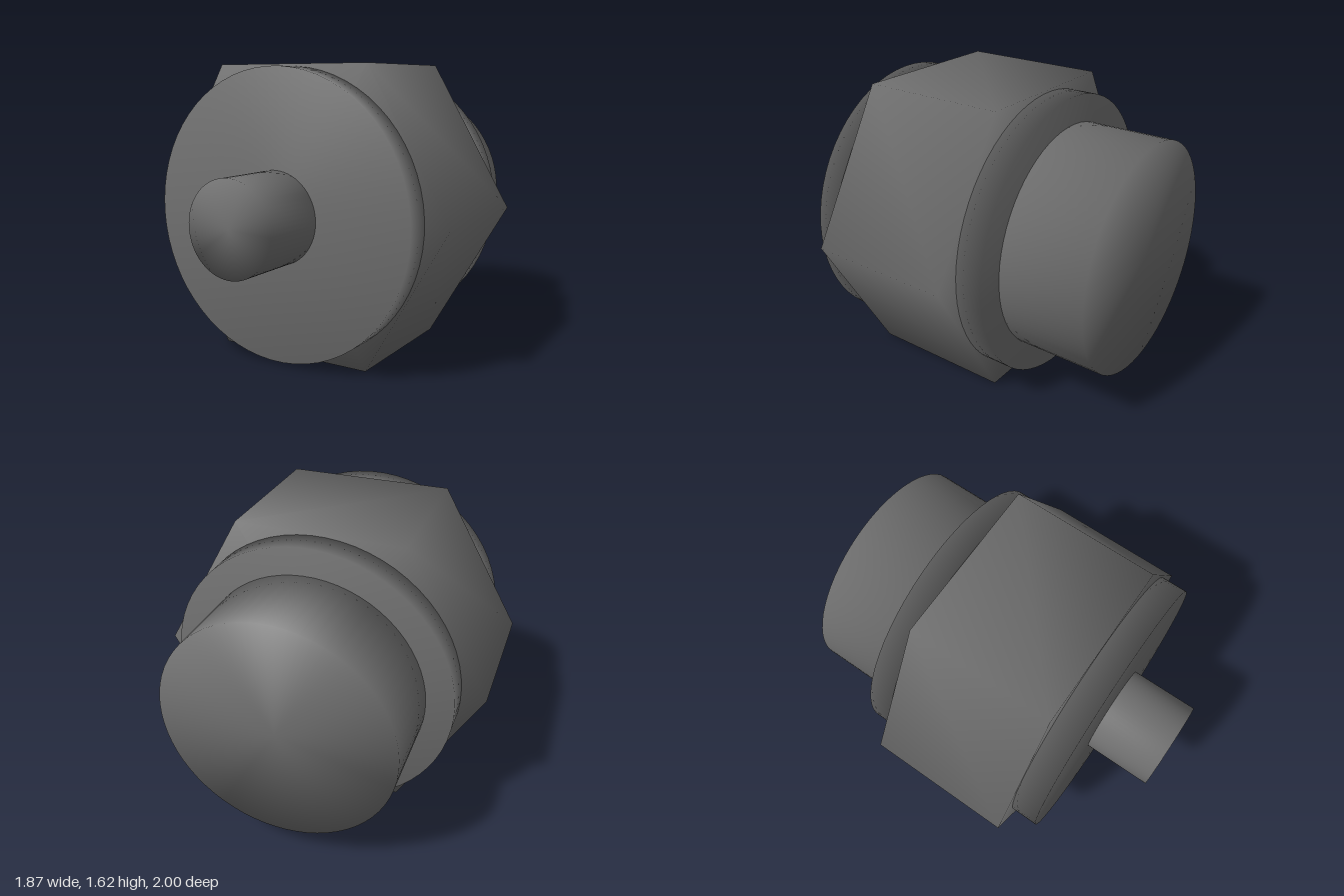
import * as THREE from 'three';
import { mergeVertices } from 'three/addons/utils/BufferGeometryUtils.js';

// Coaxial fitting: hexagonal body with a collar on each face, a thin front pin and a wide rear stub.
export function createModel() {
  const group = new THREE.Group();
  const axisY = 0.81;
  const material = new THREE.MeshStandardMaterial({ color: 0x707070 });

  // Cylinder or prism along z, spanning zBack..zFront, shaded softly across its edges
  function addSection(name, radius, zBack, zFront, sides = 64) {
    const solid = new THREE.CylinderGeometry(
      radius, radius, zFront - zBack, sides, 1, false, Math.PI / sides);
    solid.rotateX(Math.PI / 2);
    solid.deleteAttribute('normal');
    solid.deleteAttribute('uv');
    const geometry = mergeVertices(solid);
    geometry.computeVertexNormals();
    const mesh = new THREE.Mesh(geometry, material);
    mesh.name = name;
    mesh.position.set(0, axisY, (zBack + zFront) / 2);
    group.add(mesh);
  }

  addSection('hexBody', 0.933, -0.365, 0.46, 6);
  addSection('frontCollar', 0.795, 0.46, 0.613);
  addSection('rearCollar', 0.795, -0.518, -0.365);
  addSection('frontPin', 0.255, 0.613, 1);
  addSection('rearStub', 0.642, -1, -0.518);

  return group;
}
